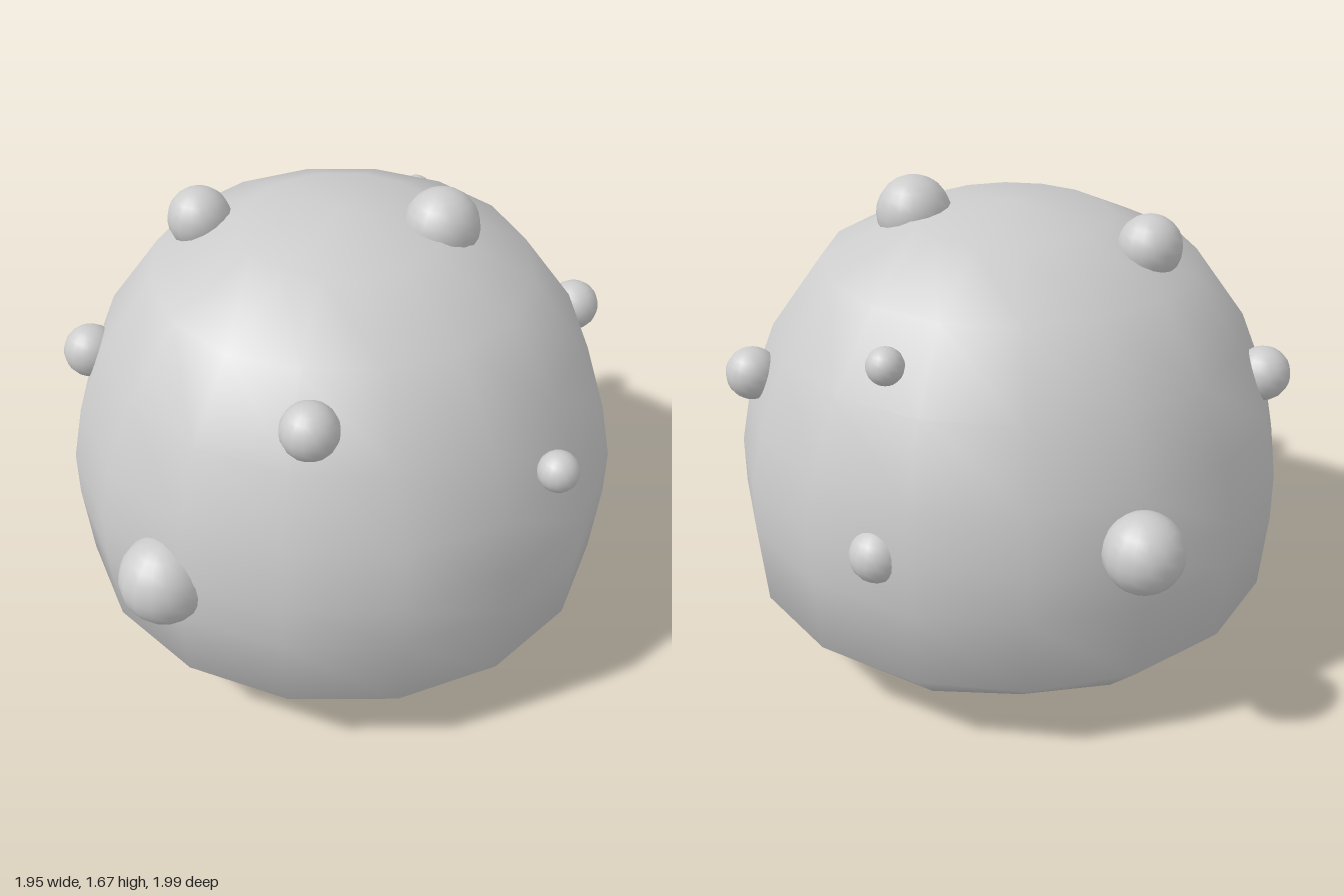
import * as THREE from 'three';
import { mergeVertices } from 'three/addons/utils/BufferGeometryUtils.js';

const SIDES = 16;

// Squat dome: radius and height from the underside to the crown
const PROFILE = [
  [0, 0.005], [0.79, 0.12], [0.945, 0.27], [0.97, 0.55], [0.97, 0.72], [0.93, 0.92],
  [0.83, 1.17], [0.65, 1.42], [0.35, 1.56], [0, 1.61],
];

// Round bumps: x, y, z, radius
const BUMPS = [
  [-0.43, 0.655, 0.84, 0.153],
  [-0.5, 1.51, -0.03, 0.11],
  [0.325, 1.55, -0.07, 0.13],
  [0.05, 1.29, 0.765, 0.095],
  [-0.88, 1.03, 0.15, 0.095],
  [0.8, 1.01, 0.475, 0.07],
  [0.785, 1.04, -0.455, 0.092],
  [-0.69, 0.775, -0.72, 0.132],
  [0.125, 0.71, -0.91, 0.09],
  [0.145, 1.29, -0.745, 0.062],
];

function bodyGeometry() {
  const points = PROFILE.map(([r, y]) => new THREE.Vector2(r, y));
  let geo = new THREE.LatheGeometry(points, SIDES);
  const pos = geo.attributes.position;
  // Every second corner of the lowest ring is tucked in and down
  for (let i = 1; i < SIDES; i += 2) {
    const v = i * points.length + 1;
    const k = 0.72 / 0.79;
    pos.setXYZ(v, pos.getX(v) * k, 0.085, pos.getZ(v) * k);
  }
  // Weld the seam so the shading is smooth all round
  geo.deleteAttribute('uv');
  geo.deleteAttribute('normal');
  geo = mergeVertices(geo, 1e-4);
  geo.computeVertexNormals();
  return geo;
}

export function createModel() {
  const model = new THREE.Group();
  const material = new THREE.MeshStandardMaterial({ color: 0xcccccc });

  const body = new THREE.Mesh(bodyGeometry(), material);
  body.name = 'body';
  model.add(body);

  const bumps = new THREE.Group();
  bumps.name = 'bumps';
  const ball = new THREE.SphereGeometry(1, 16, 12);
  BUMPS.forEach(([x, y, z, r], i) => {
    const bump = new THREE.Mesh(ball, material);
    bump.name = `bump${i + 1}`;
    bump.position.set(x, y, z);
    bump.scale.setScalar(r);
    bumps.add(bump);
  });
  model.add(bumps);

  return model;
}
